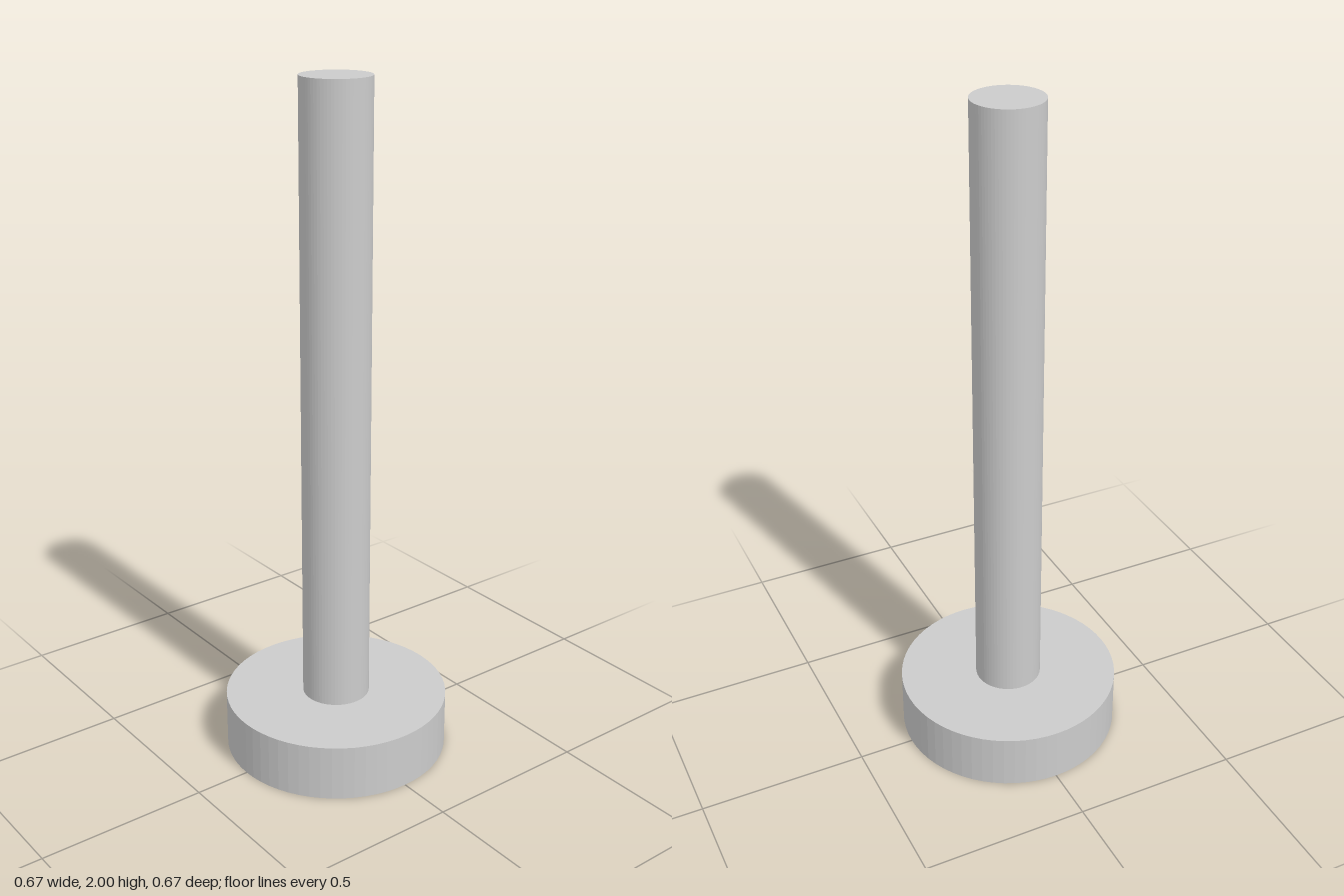
import * as THREE from 'three';

const SIDES = 64;

export function createModel() {
  const group = new THREE.Group();
  const material = new THREE.MeshStandardMaterial({ color: 0xcccccc, flatShading: true });

  // Upright cylinder spanning bottom to top
  const addCylinder = (name, radius, bottom, top) => {
    const geometry = new THREE.CylinderGeometry(radius, radius, top - bottom, SIDES);
    const mesh = new THREE.Mesh(geometry, material);
    mesh.name = name;
    mesh.position.y = (bottom + top) / 2;
    group.add(mesh);
  };

  // Wide disc at the foot, slim rod standing on it
  addCylinder('head', 0.333, 0, 0.168);
  addCylinder('shaft', 0.1, 0.168, 2);

  return group;
}
